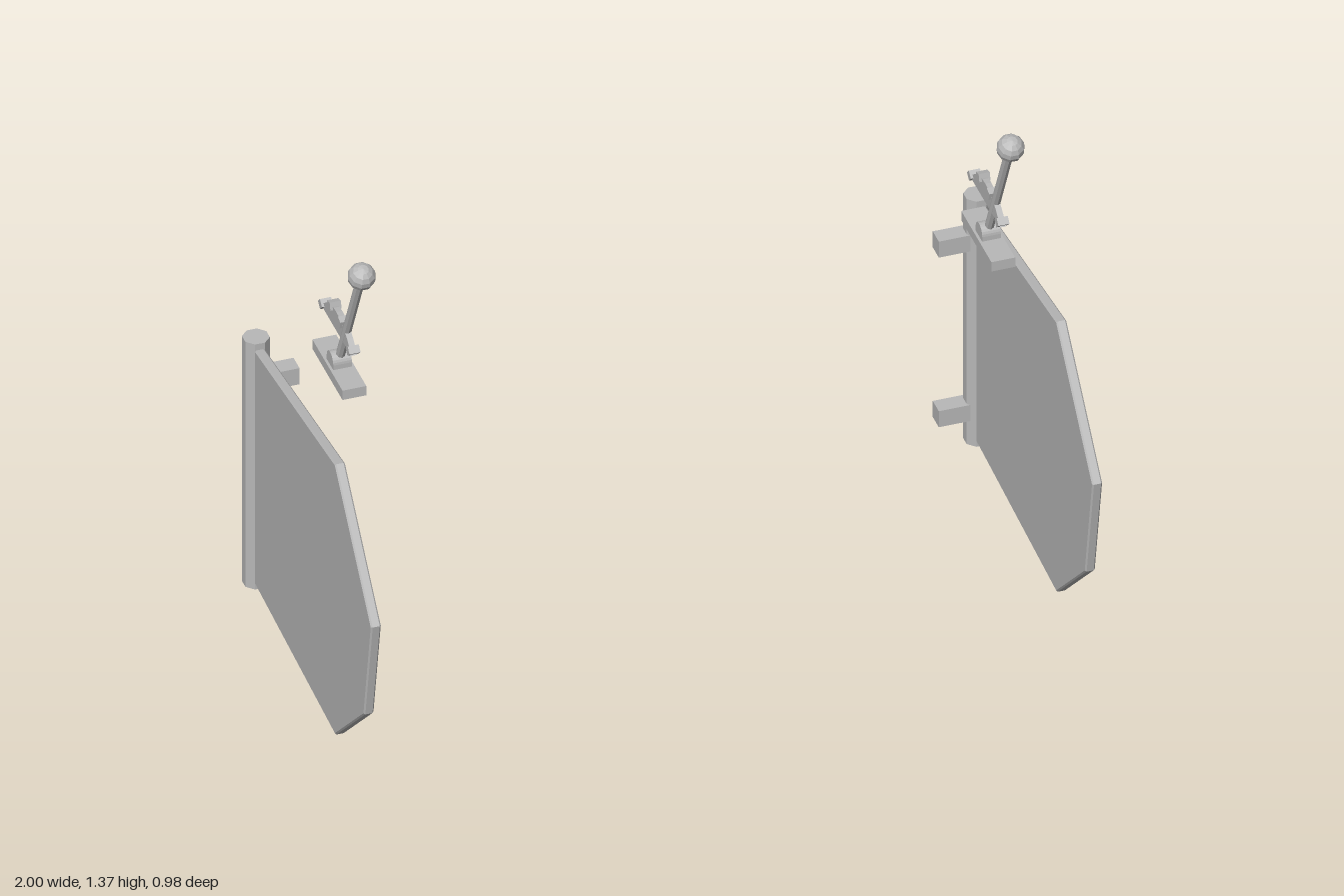
import * as THREE from 'three';

const grey = new THREE.MeshStandardMaterial({ color: 0xb8b8b8, flatShading: true });
grey.name = 'plainGrey';

function add(parent, name, geometry, x = 0, y = 0, z = 0) {
  const mesh = new THREE.Mesh(geometry, grey);
  mesh.name = name;
  mesh.position.set(x, y, z);
  parent.add(mesh);
  return mesh;
}

// Plate drawn in (z, y) and centred on its own x = 0
function plate(shape, thickness, bevel = 0) {
  const depth = thickness - 2 * bevel;
  return new THREE.ExtrudeGeometry(shape, {
    depth, curveSegments: 6, bevelEnabled: bevel > 0, bevelSegments: 1,
    bevelSize: bevel, bevelThickness: bevel, bevelOffset: -bevel,
  }).translate(0, 0, -depth / 2).rotateY(-Math.PI / 2);
}

// Hinged panel on an octagonal post, with two brackets pointing inwards
function makeGate(side) {
  const gate = new THREE.Group();
  gate.name = side > 0 ? 'leftGate' : 'rightGate';
  const x = side * 0.967;
  const outline = [[-0.45, 0.048], [0.205, 0.004], [0.432, 0.22], [0.49, 0.53], [0.205, 0.847], [-0.45, 0.773]];
  const shape = new THREE.Shape(outline.map(([z, y]) => new THREE.Vector2(z, y)));
  add(gate, 'panel', plate(shape, 0.027, 0.004), x);
  const post = new THREE.CylinderGeometry(0.0355, 0.0355, 0.764, 8).rotateY(Math.PI / 8);
  add(gate, 'post', post, x, 0.413, -0.458);
  for (const y of [0.131, 0.66])
    add(gate, 'bracket', new THREE.BoxGeometry(0.1, 0.05, 0.048), side * 0.907, y, -0.461);
  return gate;
}

// Lever with ball knob on a notched quadrant
function makeLever(x) {
  const lever = new THREE.Group();
  lever.name = x > 0 ? 'leftLever' : 'rightLever';
  lever.position.set(x, 0, -0.074);
  add(lever, 'base', new THREE.BoxGeometry(0.064, 0.029, 0.237), 0, 0.937, 0);

  // Pivot block with a rounded top
  const arch = new THREE.Shape();
  arch.moveTo(-0.026, 0.95);
  arch.lineTo(0.026, 0.95);
  arch.lineTo(0.026, 0.965);
  arch.absarc(0, 0.965, 0.026, 0, Math.PI);
  arch.closePath();
  add(lever, 'pivotBlock', plate(arch, 0.05));

  // Fan-shaped quadrant and its teeth
  const centreY = 0.965, half = 0.925;
  const fan = new THREE.Shape();
  fan.moveTo(0, centreY);
  fan.absarc(0, centreY, 0.146, Math.PI / 2 - half, Math.PI / 2 + half);
  fan.closePath();
  add(lever, 'quadrant', plate(fan, 0.016));
  for (const a of [-0.83, -0.27, 0.27, 0.83]) {
    const tooth = add(lever, 'tooth', new THREE.BoxGeometry(0.03, 0.022, 0.021),
      0, centreY + Math.cos(a) * 0.147, Math.sin(a) * 0.147);
    tooth.rotation.x = a;
  }

  // Handle tilted towards the front
  const handle = new THREE.Group();
  handle.name = 'handle';
  handle.position.y = centreY;
  handle.rotation.x = Math.atan2(0.175, 0.374);
  add(handle, 'rod', new THREE.CylinderGeometry(0.0125, 0.0125, 0.4, 8), 0, 0.2, 0);
  add(handle, 'knob', new THREE.SphereGeometry(0.037, 10, 8), 0, 0.413, 0);
  lever.add(handle);
  return lever;
}

export function createModel() {
  const model = new THREE.Group();
  model.name = 'gatesAndLevers';
  model.add(makeGate(1), makeGate(-1), makeLever(0.866), makeLever(-0.874));
  return model;
}
